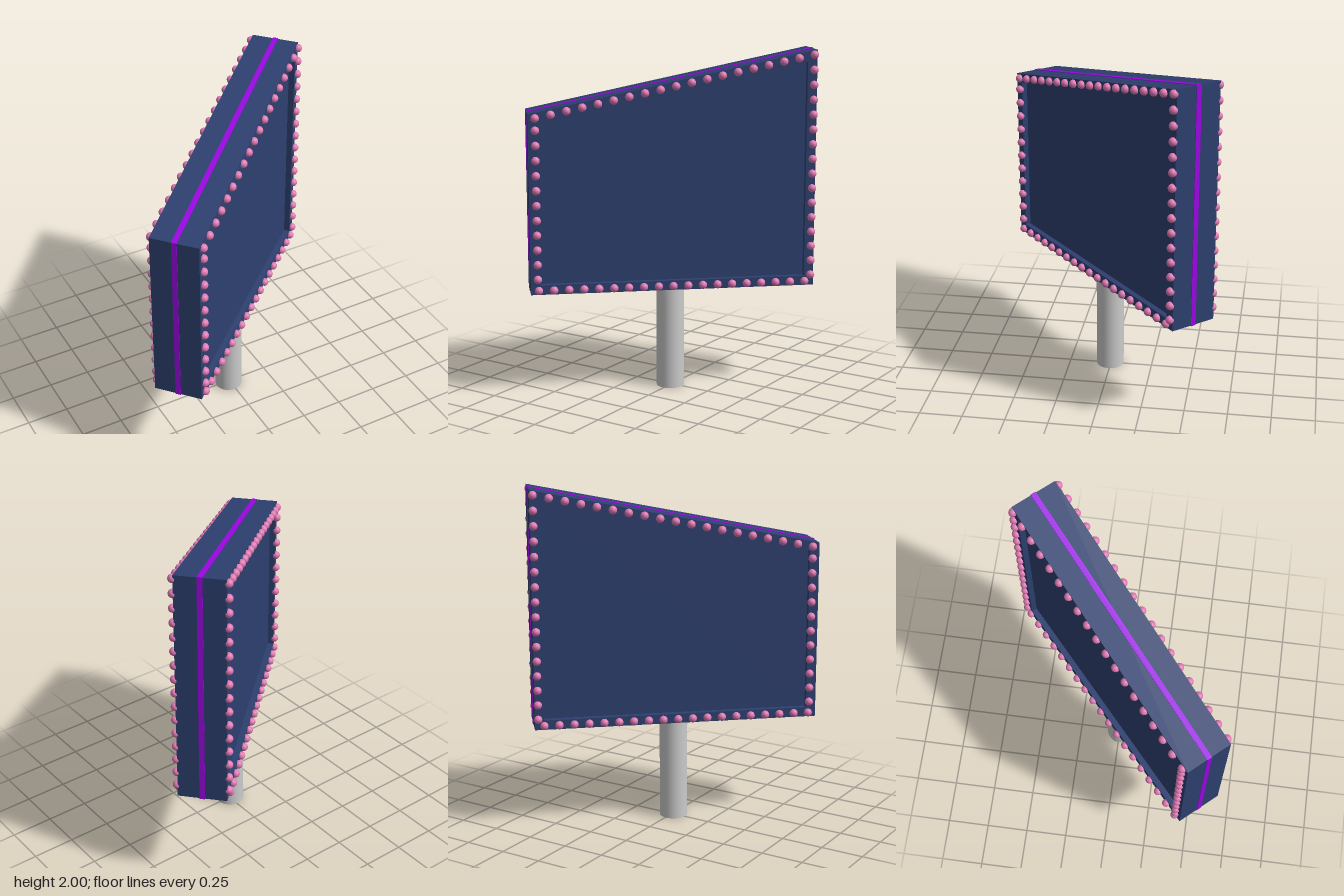
import * as THREE from 'three';

const LENGTH = 1.657, DEPTH = 0.278, RECESS = 0.034, FRAME = 0.056;
const BOTTOM = 0.617, LOW = 1.657, HIGH = 1.997;
const SLOPE = (HIGH - LOW) / LENGTH;

// Sloped four-sided outline, shrunk (or grown, if negative) by an inset
function outline(inset, Type = THREE.Shape) {
  const half = LENGTH / 2 - inset;
  const top = x => LOW + SLOPE * (x + LENGTH / 2) - inset * Math.hypot(1, SLOPE);
  return new Type([
    new THREE.Vector2(-half, BOTTOM + inset),
    new THREE.Vector2(half, BOTTOM + inset),
    new THREE.Vector2(half, top(half)),
    new THREE.Vector2(-half, top(-half)),
  ]);
}

// Extrusion centred on local z = 0
function slab(shape, depth) {
  const geometry = new THREE.ExtrudeGeometry(shape, { depth, bevelEnabled: false });
  return geometry.translate(0, 0, -depth / 2);
}

function addMesh(parent, name, geometry, material) {
  const mesh = new THREE.Mesh(geometry, material);
  mesh.name = name;
  parent.add(mesh);
  return mesh;
}

export function createModel() {
  const grey = new THREE.MeshStandardMaterial({ color: 0xcccccc });
  const navy = new THREE.MeshStandardMaterial({ color: 0x2e4070 });
  const purple = new THREE.MeshStandardMaterial({ color: 0x9c06e4 });
  const pink = new THREE.MeshStandardMaterial({ color: 0xe07ab4 });

  const model = new THREE.Group();
  model.name = 'signOnPost';

  // Post
  const postHeight = BOTTOM + 0.02;
  const post = addMesh(model, 'post', new THREE.CylinderGeometry(0.082, 0.082, postHeight, 32), grey);
  post.position.set(-0.007, postHeight / 2, 0.005);

  // Sign board, turned on its post
  const sign = new THREE.Group();
  sign.name = 'sign';
  sign.position.set(-0.007, 0, 0.003);
  sign.rotation.y = 0.728;
  model.add(sign);

  // Raised border around a recessed board
  const frameShape = outline(0);
  frameShape.holes.push(outline(FRAME, THREE.Path));
  addMesh(sign, 'frame', slab(frameShape, DEPTH), navy);
  addMesh(sign, 'board', slab(outline(FRAME), DEPTH - 2 * RECESS), navy);

  // Stripe running round the edge
  const stripeShape = outline(-0.003);
  stripeShape.holes.push(outline(0.01, THREE.Path));
  addMesh(sign, 'edgeStripe', slab(stripeShape, 0.031), purple);

  // Rows of bulbs on both faces: [x0, y0, x1, y1, count]
  const rows = [
    [-0.783, 0.642, 0.775, 0.642, 19],
    [-0.788, 1.635, 0.81, 1.969, 19],
    [-0.788, 0.708, -0.788, 1.566, 11],
    [0.81, 0.681, 0.81, 1.883, 15],
  ];
  const bulbGeometry = new THREE.SphereGeometry(0.024, 20, 14);
  for (const side of [1, -1]) {
    const bulbs = new THREE.Group();
    bulbs.name = side > 0 ? 'frontBulbs' : 'backBulbs';
    sign.add(bulbs);
    for (const [x0, y0, x1, y1, count] of rows) {
      for (let i = 0; i < count; i++) {
        const t = i / (count - 1);
        const bulb = addMesh(bulbs, 'bulb', bulbGeometry, pink);
        bulb.position.set(x0 + (x1 - x0) * t, y0 + (y1 - y0) * t, side * (DEPTH / 2 + 0.006));
      }
    }
  }
  return model;
}
